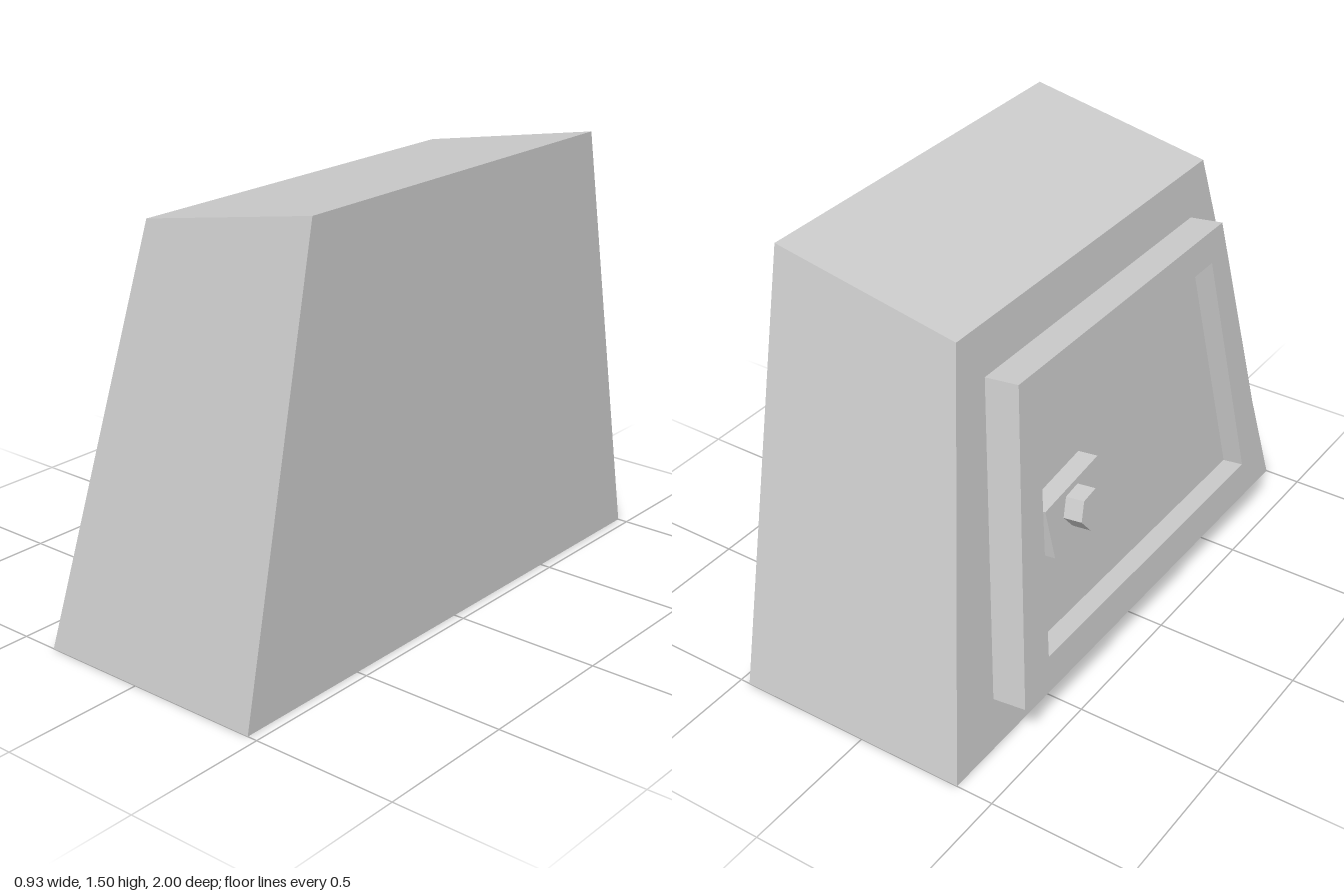
import * as THREE from 'three';

const grey = new THREE.MeshStandardMaterial({ color: 0xcccccc });
grey.name = 'grey';

function part(name, geometry, parent) {
  const mesh = new THREE.Mesh(geometry, grey);
  mesh.name = name;
  parent.add(mesh);
  return mesh;
}

// Symmetric trapezoid: half widths and heights of the lower and upper edges
function trapezoid(lowerHalf, lowerY, upperHalf, upperY, Type = THREE.Shape) {
  return new Type([
    [-lowerHalf, lowerY], [lowerHalf, lowerY], [upperHalf, upperY], [-upperHalf, upperY],
  ].map(([x, y]) => new THREE.Vector2(x, y)));
}

const extrude = (shape, depth) => new THREE.ExtrudeGeometry(shape, { depth, bevelEnabled: false });

// Block tapering upward, with a sloping top and a leaning door side
function bodyGeometry() {
  const g = new THREE.BoxGeometry(2, 2, 2).toNonIndexed();
  const p = g.attributes.position;
  for (let i = 0; i < p.count; i++) {
    const left = p.getX(i) > 0, top = p.getY(i) > 0, side = Math.sign(p.getZ(i));
    const x = left ? 0.465 : top ? -0.19 : -0.37;
    const y = top ? (left ? 1.495 : 1.375) : 0;
    p.setXYZ(i, x, y, side * (top ? 0.7 : 1));
  }
  g.computeVertexNormals();
  return g;
}

export function createModel() {
  const model = new THREE.Group();
  part('body', bodyGeometry(), model);

  // Door group: local x runs along the wall, y up the slope, z outward
  const door = new THREE.Group();
  door.name = 'door';
  const up = new THREE.Vector3(0.18, 1.375, 0).normalize();
  const along = new THREE.Vector3(0, 0, 1);
  const out = new THREE.Vector3().crossVectors(along, up);
  door.quaternion.setFromRotationMatrix(new THREE.Matrix4().makeBasis(along, up, out));
  door.position.set(-0.37, 0, 0);
  model.add(door);

  // Raised frame around a recessed panel
  const frame = trapezoid(0.77, 0.172, 0.595, 1.222);
  frame.holes.push(trapezoid(0.62, 0.272, 0.512, 1.112, THREE.Path));
  part('doorFrame', extrude(frame, 0.12), door);
  part('doorPanel', extrude(trapezoid(0.62, 0.272, 0.512, 1.112), 0.045), door);

  // Slightly tilted latch plate with a six-sided knob
  const tilt = 0.11;
  const plate = part('latchPlate', new THREE.BoxGeometry(0.3, 0.18, 0.075), door);
  plate.position.set(-0.382, 0.683, 0.0785);
  plate.rotation.z = tilt;

  const hexagon = new THREE.Shape();
  for (let i = 0; i < 6; i++) {
    const a = i * Math.PI / 3;
    hexagon[i ? 'lineTo' : 'moveTo'](0.067 * Math.cos(a), 0.067 * Math.sin(a));
  }
  const knob = part('knob', extrude(hexagon, 0.072), door);
  knob.position.set(-0.388, 0.694, 0.11);
  knob.rotation.z = 0.14;

  return model;
}
